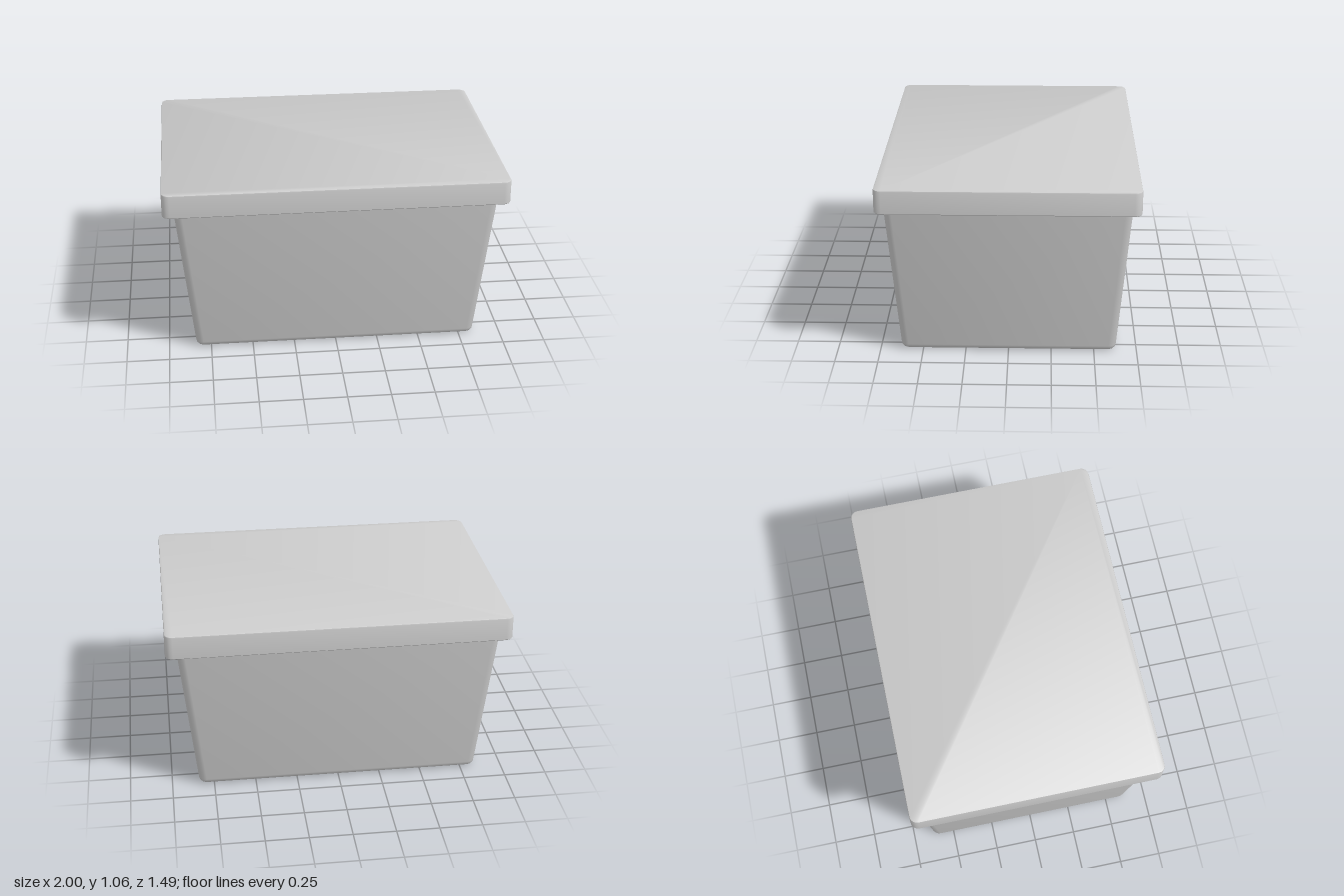
import * as THREE from 'three';
import { toCreasedNormals } from 'three/addons/utils/BufferGeometryUtils.js';

const CORNER_STEPS = 4;

// Points of a rounded rectangle at height y
function ring([y, hx, hz, r]) {
  const points = [];
  const corners = [[1, 1], [-1, 1], [-1, -1], [1, -1]];
  corners.forEach(([sx, sz], c) => {
    for (let i = 0; i <= CORNER_STEPS; i++) {
      const a = (c + i / CORNER_STEPS) * Math.PI / 2;
      points.push([sx * (hx - r) + r * Math.cos(a), y, sz * (hz - r) + r * Math.sin(a)]);
    }
  });
  return points;
}

// Closed solid through rings [y, halfX, halfZ, radius], listed from bottom to top
function loft(sections) {
  const rings = sections.map(ring);
  const n = rings[0].length, last = rings.length - 1;
  const index = [];
  for (let k = 0; k < last; k++) {
    for (let i = 0; i < n; i++) {
      const j = (i + 1) % n;
      const a = k * n + i, b = k * n + j;
      index.push(a, a + n, b, b, a + n, b + n);
    }
  }
  // Flat bottom and top
  for (let i = 1; i < n - 1; i++) {
    index.push(0, i, i + 1);
    index.push(last * n, last * n + i + 1, last * n + i);
  }
  const geometry = new THREE.BufferGeometry();
  geometry.setAttribute('position', new THREE.Float32BufferAttribute(rings.flat(2), 3));
  geometry.setIndex(index);
  return toCreasedNormals(geometry, 0.6);
}

export function createModel() {
  const group = new THREE.Group();
  const material = new THREE.MeshStandardMaterial({ color: 0xcccccc });
  const add = (name, sections) => {
    const mesh = new THREE.Mesh(loft(sections), material);
    mesh.name = name;
    group.add(mesh);
  };

  // Tapered tub with a rounded bottom edge
  const bottom = [];
  for (let i = 0; i <= 4; i++) {
    const a = i / 4 * Math.PI / 2;
    const inset = 0.04 * (1 - Math.sin(a));
    bottom.push([0.035 * (1 - Math.cos(a)), 0.84 - inset, 0.63 - inset, 0.045 - inset * 0.6]);
  }
  add('tub', [...bottom, [0.918, 0.935, 0.7, 0.045]]);

  // Overhanging lid with a slightly softened top edge
  add('lid', [
    [0.917, 0.995, 0.741, 0.04],
    [0.922, 1, 0.746, 0.045],
    [1.05, 1, 0.746, 0.045],
    [1.056, 0.998, 0.744, 0.043],
    [1.059, 0.992, 0.738, 0.037],
  ]);
  return group;
}
